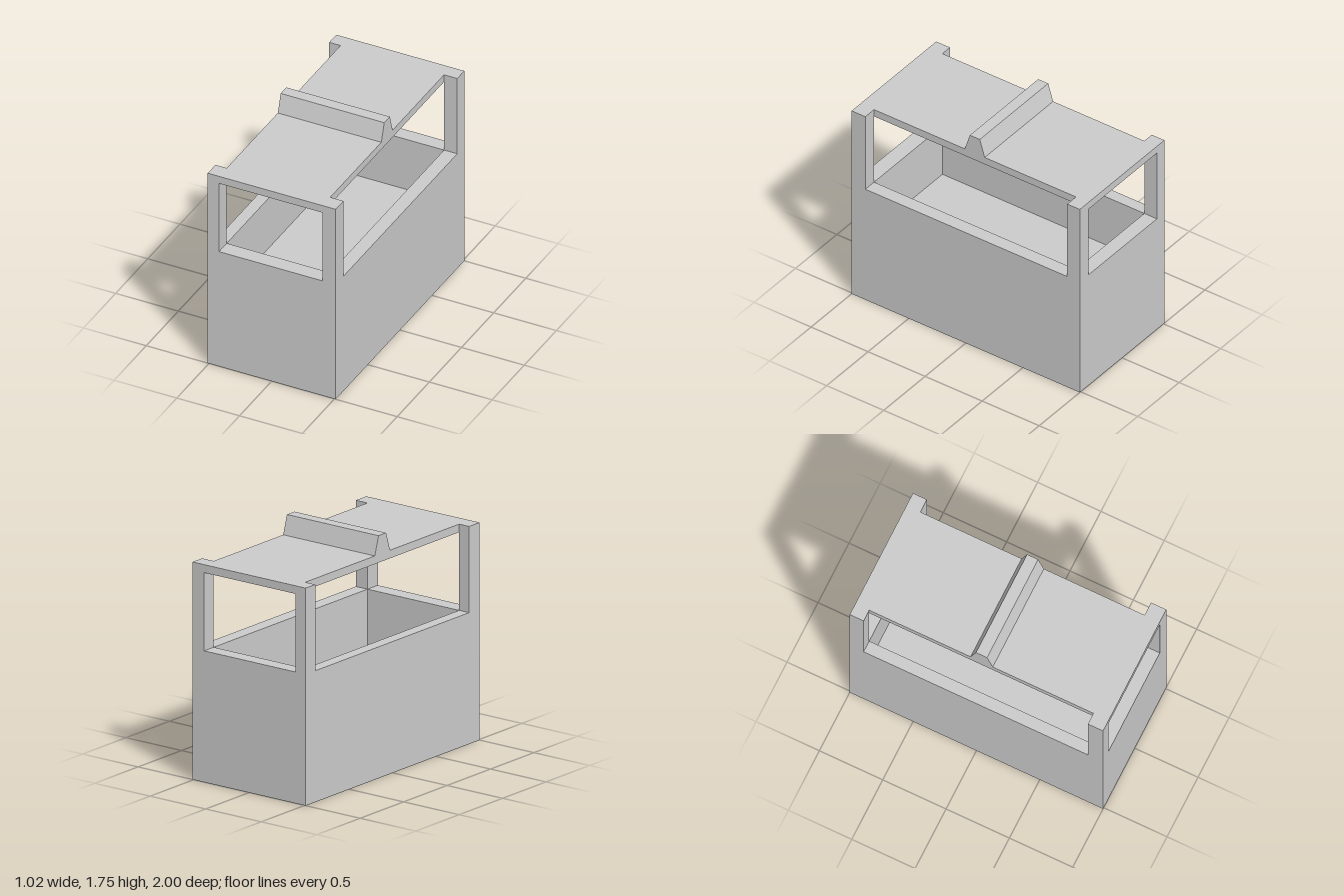
import * as THREE from 'three';

const material = new THREE.MeshStandardMaterial({ color: 0xcccccc, flatShading: true });

// Main levels and the limits of the inner space
const HALF_W = 0.51, SILL = 0.975, ROOF_LOW = 1.555, TOP = 1.615, FLOOR = 0.55;
const X0 = -0.42, X1 = 0.405, Z0 = -0.89, Z1 = 0.88;

function addMesh(group, name, geometry) {
  const mesh = new THREE.Mesh(geometry, material);
  mesh.name = name;
  group.add(mesh);
  return mesh;
}

// Box given by its limits on each axis
function addBlock(group, name, [x0, x1], [y0, y1], [z0, z1]) {
  const mesh = addMesh(group, name, new THREE.BoxGeometry(x1 - x0, y1 - y0, z1 - z0));
  mesh.position.set((x0 + x1) / 2, (y0 + y1) / 2, (z0 + z1) / 2);
}

function rectangle(Type, x0, x1, y0, y1) {
  return new Type([[x0, y0], [x1, y0], [x1, y1], [x0, y1]].map(([x, y]) => new THREE.Vector2(x, y)));
}

// End wall with its window and the two corner posts
function addEndWall(group, name, z0, z1) {
  const shape = rectangle(THREE.Shape, -HALF_W, HALF_W, 0, TOP);
  shape.holes.push(rectangle(THREE.Path, X0, X1, SILL, ROOF_LOW));
  const geometry = new THREE.ExtrudeGeometry(shape, { depth: z1 - z0, bevelEnabled: false });
  addMesh(group, name, geometry).position.z = z0;
}

export function createModel() {
  const group = new THREE.Group();
  group.name = 'openSidedBox';

  addEndWall(group, 'frontWall', Z1, 1);
  addEndWall(group, 'backWall', -1, Z0);

  // Low side walls and the raised floor of the well
  addBlock(group, 'leftWall', [X1, HALF_W], [0, SILL], [Z0, Z1]);
  addBlock(group, 'rightWall', [-HALF_W, X0], [0, SILL], [Z0, Z1]);
  addBlock(group, 'floor', [X0, X1], [0, FLOOR], [Z0, Z1]);

  // Roof plate, narrower than the end walls
  addBlock(group, 'roof', [X0, X1], [ROOF_LOW, TOP], [Z0, Z1]);

  // Tapered ridge across the roof, its profile turned to face along x
  const profile = [[-0.085, TOP], [0.09, TOP], [0.047, 1.755], [-0.04, 1.755]];
  const shape = new THREE.Shape(profile.map(([u, v]) => new THREE.Vector2(u, v)));
  const ridge = new THREE.ExtrudeGeometry(shape, { depth: X1 - X0, bevelEnabled: false });
  ridge.rotateY(Math.PI / 2);
  addMesh(group, 'roofRidge', ridge).position.x = X0;

  return group;
}
